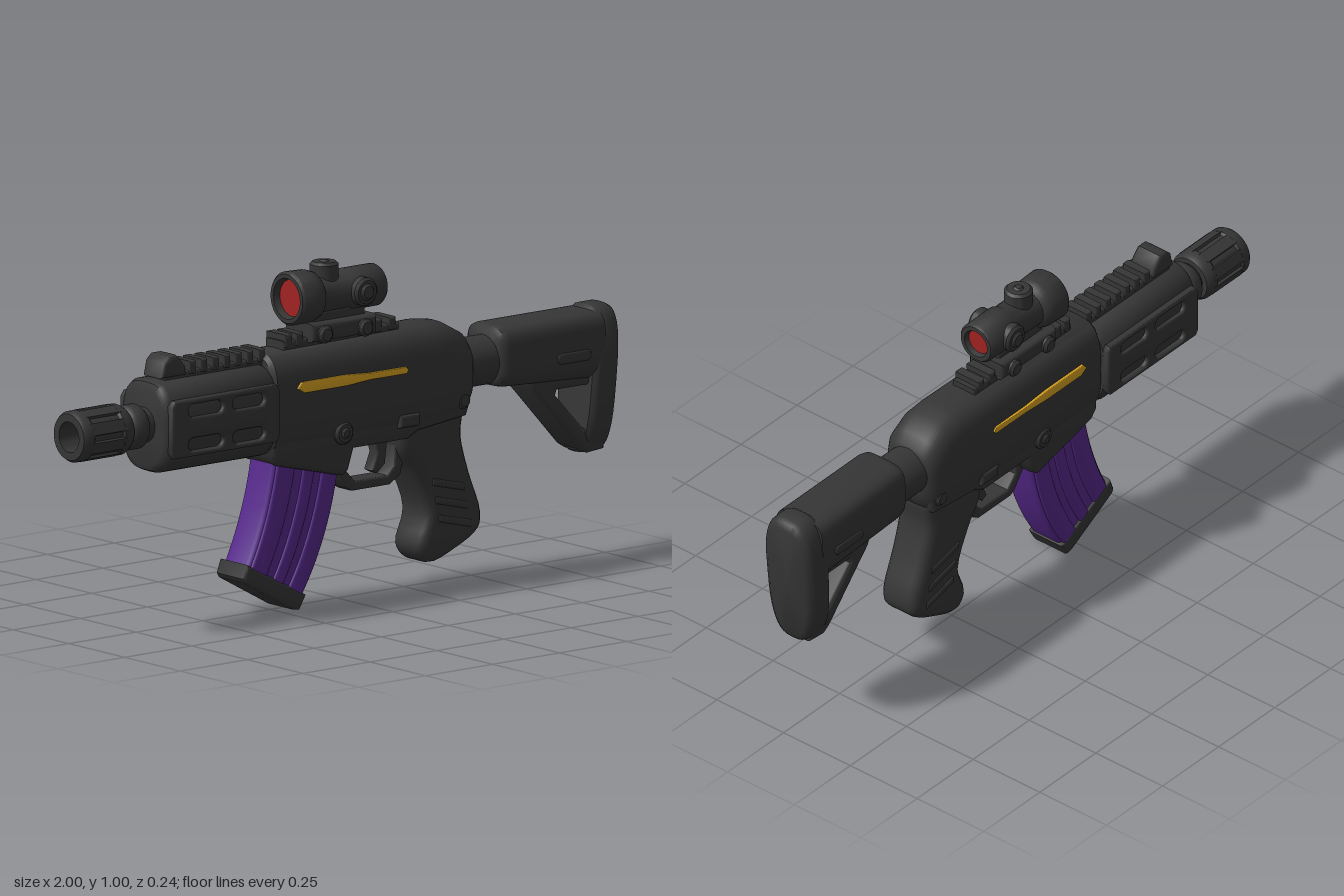
import * as THREE from 'three';
import { toCreasedNormals } from 'three/addons/utils/BufferGeometryUtils.js';

const mat = (name, color) => {
  const m = new THREE.MeshStandardMaterial({ color });
  m.name = name;
  return m;
};

// Polygon in the side (x, y) plane, with optional holes
function poly(points, holes = []) {
  const s = new THREE.Shape(points.map(p => new THREE.Vector2(...p)));
  holes.forEach(h => s.holes.push(new THREE.Path(h.map(p => new THREE.Vector2(...p)))));
  return s;
}

// Closed smooth outline through a few points
const smooth = pts => {
  const c = new THREE.CatmullRomCurve3(pts.map(p => new THREE.Vector3(p[0], p[1], 0)), true, 'centripetal');
  return c.getPoints(48).slice(0, -1).map(p => [p.x, p.y]);
};

// Capsule outline
function capsule(x0, x1, y, r) {
  const out = [];
  for (let i = 0; i <= 8; i++) { const a = Math.PI * (i / 8 - 0.5); out.push([x1 - r + r * Math.cos(a), y + r * Math.sin(a)]); }
  for (let i = 0; i <= 8; i++) { const a = Math.PI * (i / 8 + 0.5); out.push([x0 + r + r * Math.cos(a), y + r * Math.sin(a)]); }
  return out;
}

// Side profile extruded across z, centred, with rounded edges
function side(shape, width, b = 0.012) {
  const g = new THREE.ExtrudeGeometry(shape, {
    depth: width - 2 * b, bevelEnabled: b > 0, bevelSize: b, bevelThickness: b,
    bevelOffset: -b, bevelSegments: 3, curveSegments: 12,
  });
  return g.translate(0, 0, -(width - 2 * b) / 2);
}

// Superellipse sections along x; station = [x, bottom, top, halfWidth]
function loft(stations, power = 4, n = 40) {
  const pos = [], idx = [];
  const f = v => Math.sign(v) * Math.abs(v) ** (2 / power);
  const cap = s => [s[0], (s[1] + s[2]) / 2, (s[1] + s[2]) / 2, 0];
  const rings = [cap(stations[0]), ...stations, cap(stations.at(-1))];
  rings.forEach(([x, y0, y1, w], i) => {
    for (let j = 0; j < n; j++) {
      const a = j / n * Math.PI * 2, k = (j + 1) % n;
      pos.push(x, (y0 + y1) / 2 + f(Math.cos(a)) * (y1 - y0) / 2, f(Math.sin(a)) * w);
      if (i < rings.length - 1) {
        const p = i * n + j, q = i * n + k;
        idx.push(p, q, p + n, q, q + n, p + n);
      }
    }
  });
  const g = new THREE.BufferGeometry();
  g.setAttribute('position', new THREE.Float32BufferAttribute(pos, 3));
  g.setIndex(idx);
  return g;
}

// Turned part along x; profile = [radius, x]
const turned = (profile, y) => new THREE.LatheGeometry(profile.map(p => new THREE.Vector2(...p)), 32)
  .rotateZ(-Math.PI / 2).translate(0, y, 0);

// Softened box from its side rectangle
const block = (x0, x1, y0, y1, width, b = 0.01) => side(poly([[x0, y0], [x1, y0], [x1, y1], [x0, y1]]), width, b);

// Knob along z
const knob = (x, y, r, width) => {
  const h = width / 2, c = 0.008;
  return new THREE.LatheGeometry([[0, -h], [r - c, -h], [r, -h + c], [r, h - c], [r - c, h], [0, h]]
    .map(p => new THREE.Vector2(...p)), 24).rotateX(Math.PI / 2).translate(x, y, 0);
};

export function createModel() {
  const group = new THREE.Group();
  const dark = mat('charcoal', 0x363636);
  const purple = mat('purple', 0x57298c);
  const gold = mat('gold', 0xdca522);
  const red = mat('lens red', 0xa02222);
  const add = (name, geo, m = dark) => {
    const mesh = new THREE.Mesh(toCreasedNormals(geo, 0.75), m);
    mesh.name = name;
    group.add(mesh);
    return mesh;
  };

  // Muzzle with open bore and raised bars between its slots
  add('muzzle', turned([[0, -0.9], [0.045, -0.9], [0.045, -1], [0.068, -1], [0.075, -0.99], [0.075, -0.965],
    [0.068, -0.958], [0.068, -0.855], [0.075, -0.848], [0.075, -0.825], [0.066, -0.81], [0, -0.81]], 0.605));
  for (let i = 0; i < 8; i++) {
    const a = (i + 0.5) / 8 * Math.PI * 2;
    add('muzzleBar', new THREE.BoxGeometry(0.13, 0.014, 0.036).translate(0, 0.067, 0)
      .rotateX(a).translate(-0.905, 0.605, 0));
  }
  add('barrel', turned([[0, -0.82], [0.05, -0.82], [0.05, -0.805], [0.058, -0.8], [0.066, -0.79], [0.066, -0.755],
    [0.058, -0.745], [0.052, -0.74], [0.052, -0.7], [0, -0.7]], 0.605));

  // Handguard: rounded core with slotted side panels
  add('handguard', loft([[-0.722, 0.49, 0.71, 0.085], [-0.715, 0.472, 0.73, 0.1], [-0.7, 0.465, 0.737, 0.108],
    [-0.325, 0.465, 0.737, 0.108], [-0.31, 0.472, 0.73, 0.1]], 3));
  const slots = [[-0.65, -0.52], [-0.485, -0.365]].flatMap(([a, b]) => [0.652, 0.553].map(y => capsule(a, b, y, 0.019)));
  for (const s of [1, -1]) {
    add('handguardPanel', side(poly([[-0.712, 0.535], [-0.7, 0.518], [-0.32, 0.518], [-0.31, 0.535],
      [-0.31, 0.67], [-0.32, 0.687], [-0.7, 0.687], [-0.712, 0.67]], slots), 0.028, 0.007).translate(0, 0, s * 0.105));
  }

  // Top rail and front sight
  add('frontRail', block(-0.68, -0.3, 0.715, 0.753, 0.08));
  for (let i = 0; i < 7; i++) add('railTooth', block(-0.585 + i * 0.043, -0.56 + i * 0.043, 0.74, 0.779, 0.085, 0.006));
  add('frontSight', side(poly([[-0.69, 0.74], [-0.68, 0.785], [-0.66, 0.803], [-0.63, 0.803], [-0.6, 0.77], [-0.595, 0.74]]), 0.09));
  add('rearRail', block(-0.235, 0.2, 0.76, 0.79, 0.085));
  for (const x of [-0.215, -0.175, 0.12, 0.17]) add('railTooth', block(x - 0.014, x + 0.014, 0.77, 0.808, 0.09, 0.006));

  // Receiver
  add('receiver', loft([[-0.312, 0.47, 0.755, 0.085], [-0.3, 0.46, 0.765, 0.098], [0.3, 0.46, 0.775, 0.1],
    [0.36, 0.47, 0.768, 0.1], [0.42, 0.49, 0.735, 0.094], [0.442, 0.52, 0.705, 0.08], [0.45, 0.55, 0.69, 0.065]], 3.2));
  add('lowerReceiver', side(poly([[-0.305, 0.6], [-0.305, 0.465], [-0.28, 0.435], [-0.04, 0.375], [-0.02, 0.39], [0.0, 0.45],
    [0.2, 0.45], [0.24, 0.47], [0.42, 0.49], [0.435, 0.53], [0.43, 0.6]]), 0.17, 0.02));
  add('lowerPin', knob(-0.05, 0.505, 0.034, 0.2));
  add('lowerPinCentre', knob(-0.05, 0.505, 0.018, 0.212));
  add('selector', block(0.155, 0.23, 0.49, 0.53, 0.2));
  add('rearPin', knob(0.4, 0.54, 0.025, 0.19));

  // Gold strips on both sides
  for (const s of [1, -1]) {
    add('goldStrip', side(poly([[-0.23, 0.66], [-0.215, 0.677], [-0.05, 0.677], [0.04, 0.671], [0.175, 0.671],
      [0.182, 0.66], [0.175, 0.651], [0.04, 0.651], [-0.05, 0.645], [-0.205, 0.645]]), 0.009, 0.002).translate(0, 0, s * 0.1), gold);
  }

  // Trigger and guard
  add('triggerGuard', side(poly([[-0.04, 0.46], [-0.03, 0.38], [0.01, 0.325], [0.03, 0.315], [0.17, 0.315], [0.21, 0.34], [0.24, 0.46]],
    [[[0.005, 0.445], [0.19, 0.445], [0.185, 0.37], [0.16, 0.343], [0.04, 0.343], [0.005, 0.38]]]), 0.07, 0.006));
  add('trigger', side(poly([[0.12, 0.46], [0.135, 0.41], [0.115, 0.36], [0.135, 0.35], [0.165, 0.375], [0.175, 0.46]]), 0.04, 0.006));

  // Grip with finger ridges
  add('grip', side(poly(smooth([[0.2, 0.5], [0.19, 0.42], [0.235, 0.345], [0.285, 0.22], [0.257, 0.12], [0.295, 0.072],
    [0.4, 0.1], [0.485, 0.15], [0.493, 0.2], [0.45, 0.32], [0.42, 0.43], [0.42, 0.52]])), 0.136, 0.03));
  for (let i = 0; i < 3; i++) {
    const y = 0.3 - i * 0.055, x = 0.3 + i * 0.012;
    add('gripRidge', side(poly([[x, y], [x + 0.12, y - 0.03], [x + 0.12, y - 0.008], [x, y + 0.022]]), 0.144, 0.006));
  }

  // Curved magazine with raised bands, and its base
  const v = (x, y) => new THREE.Vector2(x, y);
  const front = new THREE.QuadraticBezierCurve(v(-0.28, 0.46), v(-0.305, 0.29), v(-0.385, 0.135));
  const back = new THREE.QuadraticBezierCurve(v(-0.035, 0.41), v(-0.07, 0.19), v(-0.18, 0.03));
  const band = (a, b) => {
    const edge = k => Array.from({ length: 13 }, (_, i) => front.getPoint(i / 12).lerp(back.getPoint(i / 12), k).toArray());
    return poly([...edge(a), ...edge(b).reverse()]);
  };
  add('magazine', side(band(0, 1), 0.114, 0.015), purple);
  for (const [a, b] of [[0.04, 0.32], [0.44, 0.62], [0.72, 0.97]]) add('magazineBand', side(band(a, b), 0.126, 0.008), purple);
  add('magazineBase', side(poly([[-0.385, 0.158], [-0.4, 0.118], [-0.392, 0.104], [-0.21, 0.003], [-0.19, 0], [-0.165, 0.042]]), 0.13, 0.01));

  // Stock: tube, body, open strut and butt plate
  add('stockTube', turned([[0, 0.42], [0.073, 0.42], [0.073, 0.58], [0, 0.58]], 0.627));
  add('stockBody', loft([[0.545, 0.565, 0.715, 0.07], [0.555, 0.553, 0.727, 0.083], [0.575, 0.548, 0.73, 0.088],
    [0.93, 0.53, 0.73, 0.088]], 4));
  add('stockStrut', side(poly([[0.67, 0.57], [0.69, 0.52], [0.865, 0.33], [0.89, 0.315], [0.95, 0.32], [0.96, 0.57]],
    [[[0.775, 0.515], [0.895, 0.515], [0.89, 0.39], [0.875, 0.388], [0.77, 0.5]]]), 0.12, 0.012));
  add('stockGroove', side(poly(capsule(0.75, 0.875, 0.612, 0.016)), 0.184, 0.004));
  const butt = loft([[0.905, 0.32, 0.725, 0.08], [0.915, 0.312, 0.737, 0.09], [0.925, 0.31, 0.742, 0.094],
    [0.975, 0.31, 0.742, 0.094], [0.99, 0.316, 0.735, 0.088], [1, 0.335, 0.715, 0.072]], 3);
  const p = butt.attributes.position;
  for (let i = 0; i < p.count; i++) {
    const d = 0.74 - p.getY(i);
    p.setX(i, p.getX(i) - d * 0.075);
    p.setZ(i, p.getZ(i) * (1 - d * 0.3));
  }
  add('buttPlate', butt);

  // Sight mount
  add('sightMount', block(-0.145, 0.1, 0.775, 0.83, 0.13, 0.015));
  add('mountNeck', block(-0.12, 0.08, 0.81, 0.86, 0.07));
  for (const x of [-0.1, 0.05]) add('mountKnob', knob(x, 0.797, 0.026, 0.158));

  // Sight tube, turrets and lenses
  const sy = 0.902;
  add('sightTube', turned([[0, -0.165], [0.055, -0.165], [0.06, -0.188], [0.072, -0.188], [0.079, -0.18], [0.077, -0.12],
    [0.07, -0.098], [0.058, -0.09], [0.056, 0.015], [0.062, 0.025], [0.062, 0.135], [0.056, 0.143], [0.043, 0.143],
    [0.038, 0.125], [0, 0.125]], sy));
  add('topTurret', knob(0, 0, 0.042, 0.09).rotateX(Math.PI / 2).translate(-0.048, 0.95, 0));
  add('turretCap', knob(0, 0, 0.018, 0.03).rotateX(Math.PI / 2).translate(-0.048, 0.985, 0));
  add('sideTurret', knob(0.05, sy, 0.042, 0.154));
  add('sideTurretCap', knob(0.05, sy, 0.026, 0.168));
  for (const [x, r, s] of [[0.128, 0.038, 1], [-0.168, 0.054, -1]]) {
    add('lens', new THREE.CircleGeometry(r, 28).rotateY(s * Math.PI / 2).translate(x, sy, 0), red);
  }
  return group;
}
